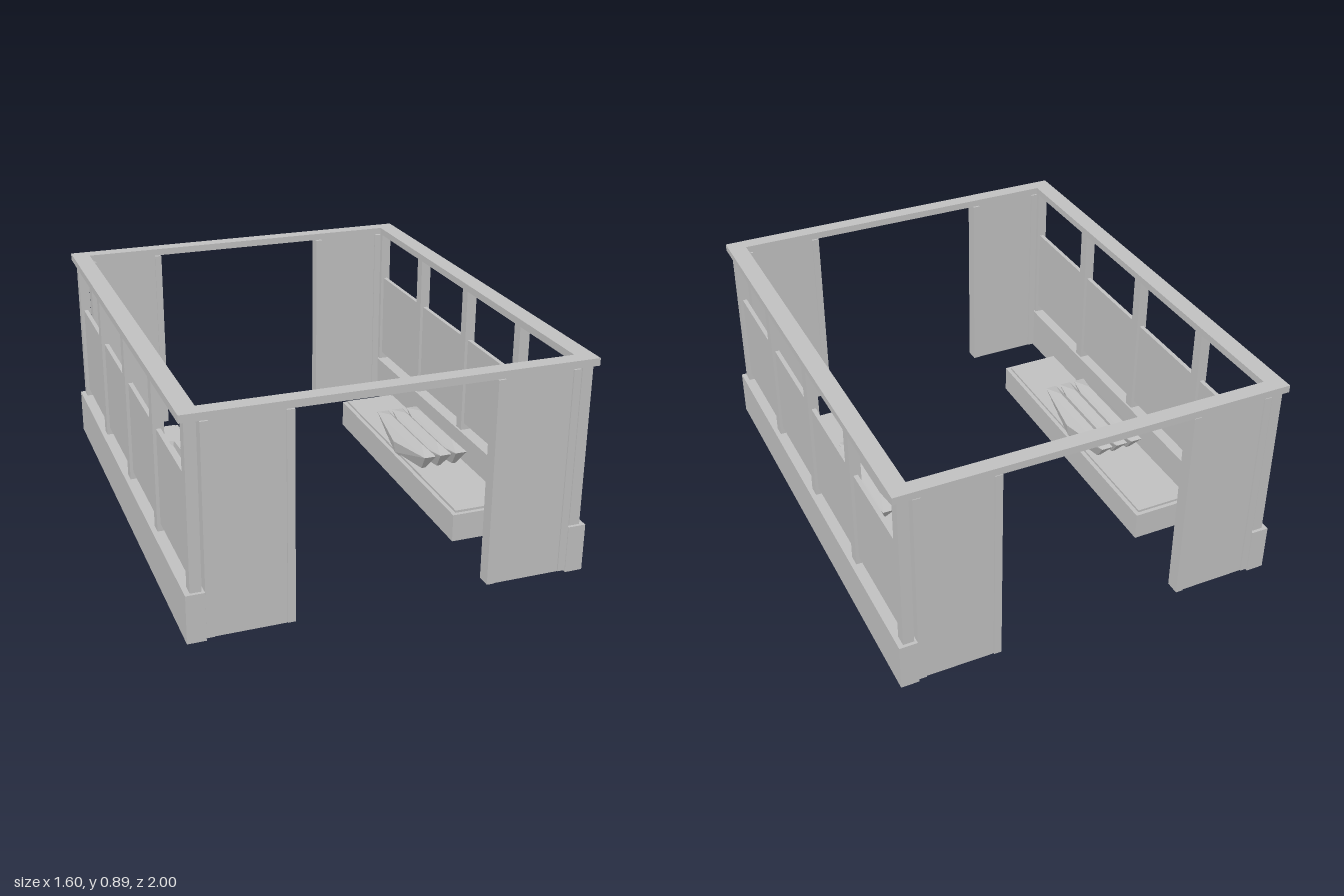
import * as THREE from 'three';
import { ConvexGeometry } from 'three/addons/geometries/ConvexGeometry.js';

export function createModel() {
  const model = new THREE.Group();
  model.name = 'pavilion';
  const grey = new THREE.MeshStandardMaterial({ color: 0xc0c0c0 });
  grey.name = 'light grey';

  // Box given by its extents on each axis
  const box = (name, x0, x1, y0, y1, z0, z1) => {
    const mesh = new THREE.Mesh(new THREE.BoxGeometry(Math.abs(x1 - x0), y1 - y0, Math.abs(z1 - z0)), grey);
    mesh.position.set((x0 + x1) / 2, (y0 + y1) / 2, (z0 + z1) / 2);
    mesh.name = name;
    model.add(mesh);
  };

  // Open rectangular roof frame
  const outline = new THREE.Shape([[-0.8, -1], [0.8, -1], [0.8, 1], [-0.8, 1]].map(p => new THREE.Vector2(...p)));
  outline.holes.push(new THREE.Path([[-0.725, -0.937], [-0.725, 0.937], [0.725, 0.937], [0.725, -0.937]].map(p => new THREE.Vector2(...p))));
  const roofGeometry = new THREE.ExtrudeGeometry(outline, { depth: 0.03, bevelEnabled: false });
  roofGeometry.rotateX(-Math.PI / 2);
  const roof = new THREE.Mesh(roofGeometry, grey);
  roof.position.y = 0.86;
  roof.name = 'roofFrame';
  model.add(roof);

  // Faceted cushion: narrow raised ends, ridge on top, keel sunk into the bench
  const points = [];
  for (const s of [-1, 1]) {
    points.push(new THREE.Vector3(0, 0.233, s * 0.165), new THREE.Vector3(0, 0.09, s * 0.165));
    for (const e of [-1, 1]) points.push(new THREE.Vector3(e * 0.026, 0.21, s * 0.267));
    points.push(new THREE.Vector3(s * 0.058, 0.18, 0), new THREE.Vector3(s * 0.05, 0.125, 0));
  }
  const cushionGeometry = new ConvexGeometry(points);

  for (const s of [-1, 1]) {
    // Side wall with its posts and rail panel
    box('sideBase', s * 0.727, s * 0.8, 0, 0.198, -1, 1);
    box('sidePanel', s * 0.749, s * 0.767, 0.23, 0.628, -0.945, 0.945);
    for (const z of [-0.963, -0.48, 0, 0.48, 0.963]) {
      box('sidePost', s * 0.736, s * 0.78, 0.198, 0.86, z - 0.024, z + 0.024);
    }

    // Entrance walls, front and back, edged by narrow posts
    for (const e of [-1, 1]) {
      box('entrancePanel', s * 0.418, s * 0.698, 0.005, 0.86, e * 0.945, e * 0.99);
      for (const x of [0.403, 0.711]) {
        box('entrancePost', s * (x - 0.015), s * (x + 0.015), 0.008, 0.855, e * 0.938, e * 0.997);
      }
    }

    // Bench and its seat
    box('bench', s * 0.416, s * 0.679, 0, 0.12, -0.628, 0.628);
    box('benchSeat', s * 0.434, s * 0.662, 0.12, 0.13, -0.611, 0.611);
    for (const d of [-0.073, 0, 0.073]) {
      const cushion = new THREE.Mesh(cushionGeometry, grey);
      cushion.position.x = s * 0.548 + d;
      cushion.name = 'cushion';
      model.add(cushion);
    }
  }
  return model;
}
